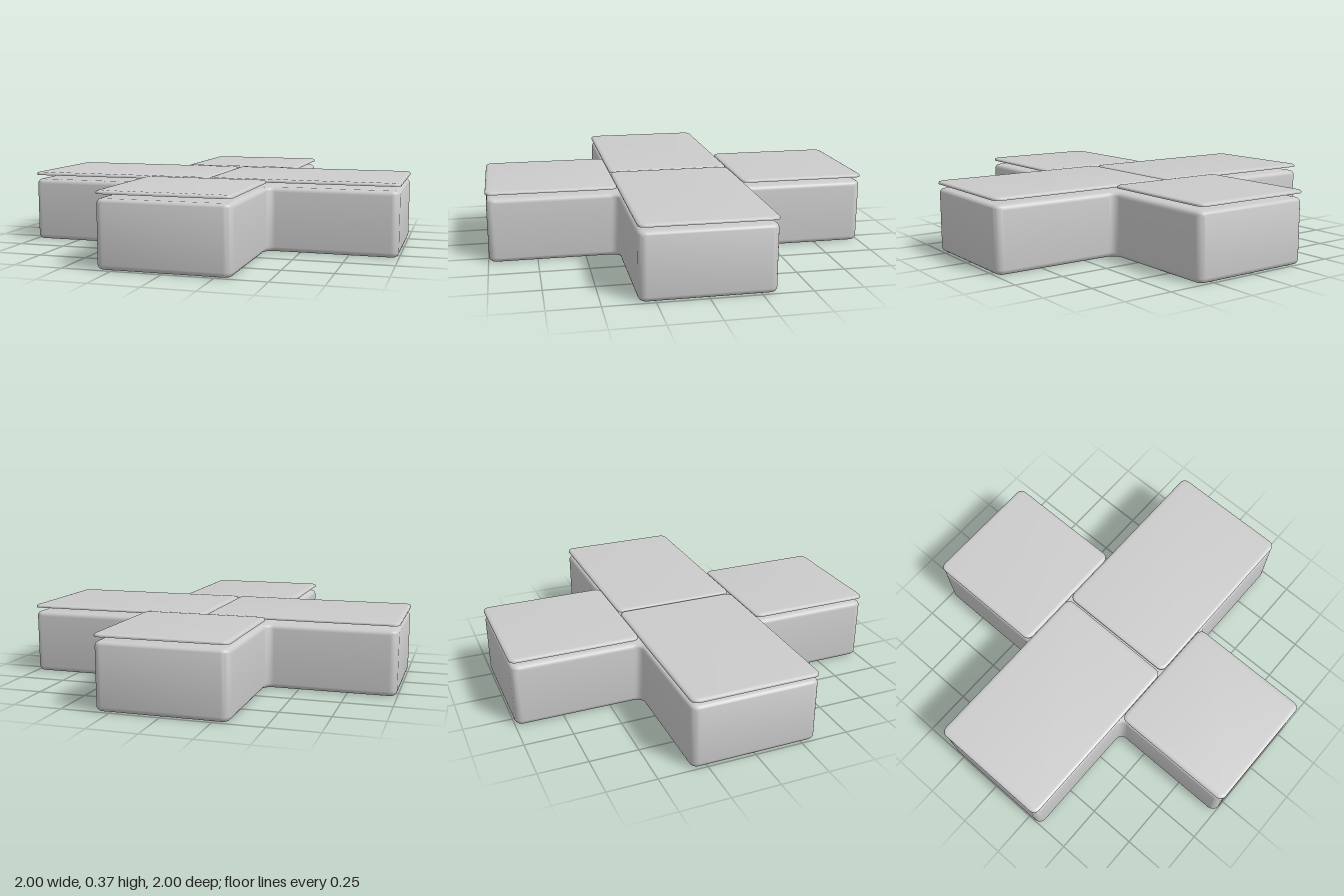
import * as THREE from 'three';
import { toCreasedNormals } from 'three/addons/utils/BufferGeometryUtils.js';

const material = new THREE.MeshStandardMaterial({ color: 0xcccccc });

// Outline through corner points, every corner rounded with radius r
function roundedOutline(corners, r) {
  const shape = new THREE.Shape();
  const points = corners.map(([x, y]) => new THREE.Vector2(x, y));
  const n = points.length;
  points.forEach((p, i) => {
    const towards = (q) => q.clone().sub(p).setLength(r).add(p);
    const a = towards(points[(i + n - 1) % n]);
    const b = towards(points[(i + 1) % n]);
    if (i === 0) shape.moveTo(a.x, a.y);
    else shape.lineTo(a.x, a.y);
    // Cubic handles that approximate a circular arc
    const c1 = a.clone().lerp(p, 0.55);
    const c2 = b.clone().lerp(p, 0.55);
    shape.bezierCurveTo(c1.x, c1.y, c2.x, c2.y, b.x, b.y);
  });
  shape.closePath();
  return shape;
}

// Horizontal slab from y = 0 to height; the outline is its widest section
function slab(shape, height, inset, bevel) {
  const geometry = new THREE.ExtrudeGeometry(shape, {
    depth: height - 2 * bevel,
    bevelThickness: bevel,
    bevelSize: inset,
    bevelOffset: -inset,
    bevelSegments: 5,
    curveSegments: 6,
  });
  return geometry.rotateX(-Math.PI / 2).translate(0, bevel, 0);
}

function addPart(group, name, geometry, y = 0) {
  const mesh = new THREE.Mesh(toCreasedNormals(geometry, 0.6), material);
  mesh.name = name;
  mesh.position.y = y;
  group.add(mesh);
}

export function createModel() {
  const group = new THREE.Group();
  group.name = 'crossBox';
  const w = 0.33;
  const l = 0.997;

  // Cross-shaped base with soft edges and filleted inner corners
  const cross = [
    [w, -l], [w, -w], [l, -w], [l, w], [w, w], [w, l],
    [-w, l], [-w, w], [-l, w], [-l, -w], [-w, -w], [-w, -l],
  ];
  addPart(group, 'base', slab(roundedOutline(cross, 0.04), 0.335, 0.025, 0.025));

  // Thin lid flaps hovering above the base: name, x range, z range
  const flaps = [
    ['leftFlap', 0.005, 1, -w, w],
    ['rightFlap', -1, -0.005, -w, w],
    ['frontFlap', -w, w, w + 0.002, 1],
    ['backFlap', -w, w, -1, -w - 0.002],
  ];
  for (const [name, x0, x1, z0, z1] of flaps) {
    const outline = roundedOutline([[x0, -z1], [x1, -z1], [x1, -z0], [x0, -z0]], 0.035);
    const geometry = slab(outline, 0.026, 0.02, 0.01);
    // Flatten the lower bevel so only the top edge is rounded
    const position = geometry.attributes.position;
    for (let i = 0; i < position.count; i++) {
      position.setY(i, Math.max(position.getY(i) - 0.01, 0));
    }
    addPart(group, name, geometry, 0.358);
  }
  return group;
}
